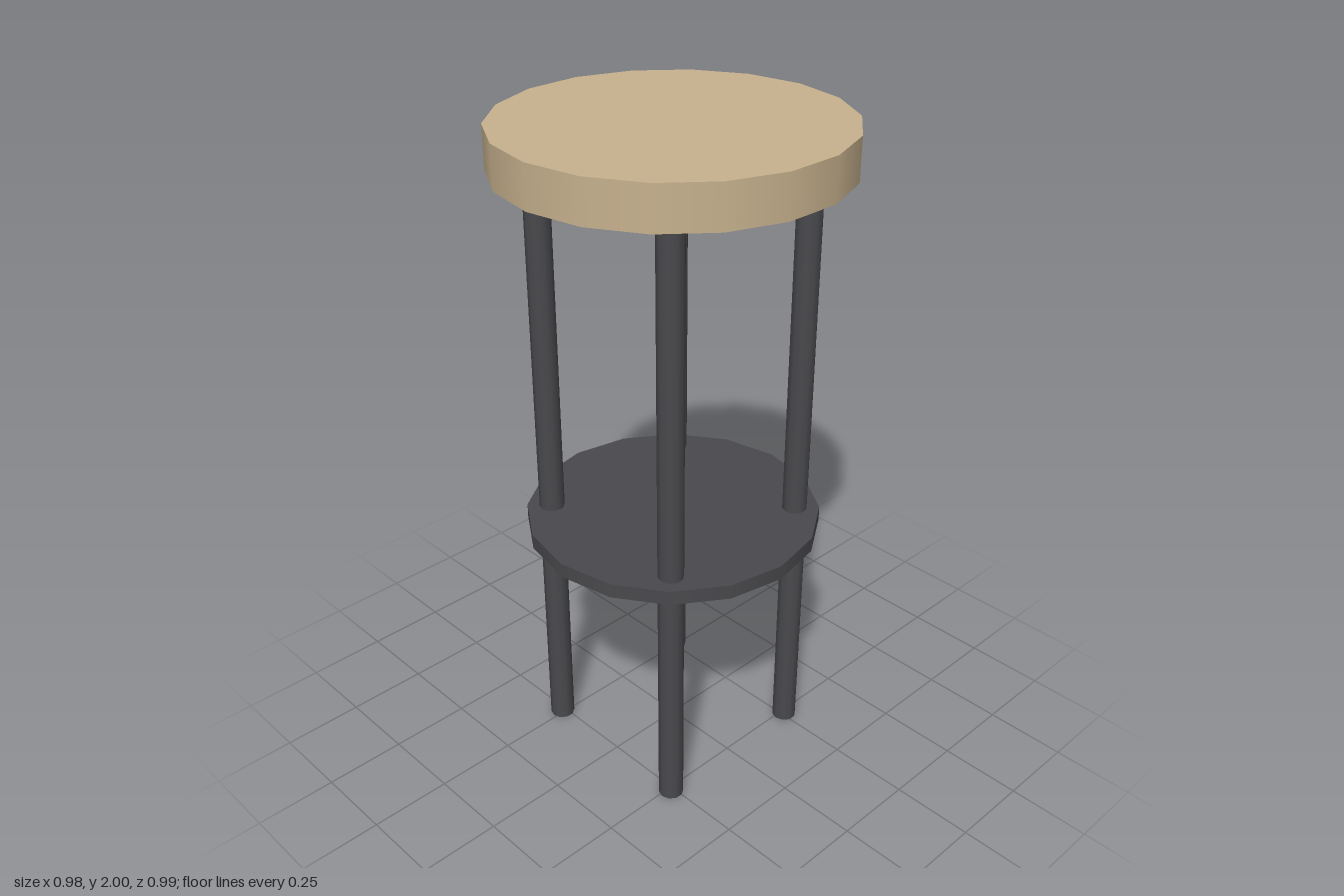
import * as THREE from 'three';

export function createModel() {
  const model = new THREE.Group();
  model.name = 'barStool';

  const wood = new THREE.MeshStandardMaterial({ color: 0xc8b28e });
  wood.name = 'pale wood';
  const metal = new THREE.MeshStandardMaterial({ color: 0x4a4a4e });
  metal.name = 'dark metal';

  // Upright cylinder spanning the heights y0 to y1
  function addCylinder(name, material, radius, sides, y0, y1, x = 0, z = 0) {
    const mesh = new THREE.Mesh(new THREE.CylinderGeometry(radius, radius, y1 - y0, sides), material);
    mesh.name = name;
    mesh.position.set(x, (y0 + y1) / 2, z);
    model.add(mesh);
  }

  // Round seat and footrest disc
  addCylinder('seat', wood, 0.497, 18, 1.875, 2);
  addCylinder('footrest', metal, 0.443, 16, 0.765, 0.81);

  // Four straight legs
  const spread = 0.26;
  for (const [side, sx] of [['Left', 1], ['Right', -1]]) {
    for (const [end, sz] of [['front', 1], ['back', -1]]) {
      addCylinder(`${end}${side}Leg`, metal, 0.038, 10, 0, 1.875, sx * spread, sz * spread);
    }
  }

  return model;
}
